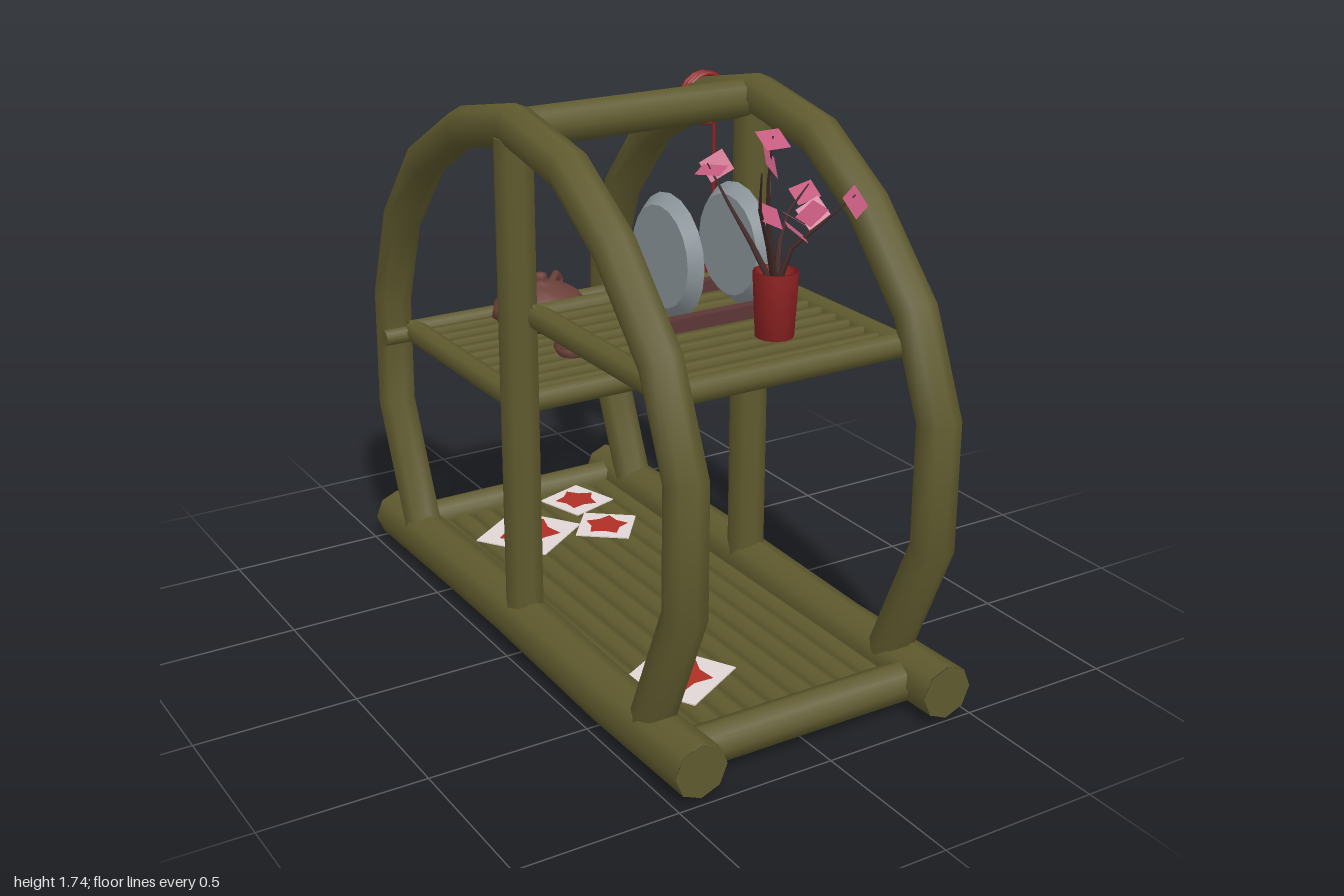
import * as THREE from 'three';

const mat = (name, color, side = THREE.FrontSide) => {
  const m = new THREE.MeshStandardMaterial({ color, side });
  m.name = name;
  return m;
};
const V = (x, y, z) => new THREE.Vector3(x, y, z);

// Curve through straight runs, so each given point becomes one ring of a tube
class PolyPath extends THREE.Curve {
  constructor(points) { super(); this.points = points; }
  getPoint(t, target = new THREE.Vector3()) {
    const n = this.points.length - 1, f = Math.min(t, 1) * n, i = Math.min(Math.floor(f + 1e-6), n - 1);
    return target.lerpVectors(this.points[i], this.points[i + 1], f - i);
  }
  getPointAt(t, target) { return this.getPoint(t, target); }
  getTangentAt(t, target = new THREE.Vector3()) {
    const p = this.points, n = p.length - 1, i = Math.round(t * n), here = p[i];
    target.set(0, 0, 0);
    if (i > 0) target.add(here.clone().sub(p[i - 1]).normalize());
    if (i < n) target.add(p[i + 1].clone().sub(here).normalize());
    return target.normalize();
  }
}

// Tube with an optional taper toward its end
function tube(points, r0, r1, sides = 8) {
  const g = new THREE.TubeGeometry(new PolyPath(points), points.length - 1, r0, sides, false);
  const pos = g.attributes.position, v = new THREE.Vector3();
  for (let k = 0; k < pos.count; k++) {
    const i = Math.floor(k / (sides + 1)), s = THREE.MathUtils.lerp(1, r1 / r0, i / (points.length - 1));
    v.fromBufferAttribute(pos, k).sub(points[i]).multiplyScalar(s).add(points[i]);
    pos.setXYZ(k, v.x, v.y, v.z);
  }
  return g;
}

export function createModel() {
  const root = new THREE.Group();
  root.name = 'bambooDisplayStand';
  const bamboo = mat('olive bamboo', 0x5f5a2e);
  const red = mat('vase red', 0x8f2222, THREE.DoubleSide);
  const clay = mat('teapot clay', 0x6b403a, THREE.DoubleSide);
  const grey = mat('plate grey', 0x8e989d);
  const wood = mat('stand wood', 0x5c3636);
  const twig = mat('twig brown', 0x452d2c);
  const pink = mat('blossom pink', 0xc45a7e, THREE.DoubleSide);
  const white = mat('paper white', 0xe2d6d6);
  const paperRed = mat('paper red', 0xb03026);

  const add = (name, geo, material, x = 0, y = 0, z = 0, parent = root) => {
    const m = new THREE.Mesh(geo, material);
    m.name = name;
    m.position.set(x, y, z);
    parent.add(m);
    return m;
  };
  // Straight capped pole between two points
  const pole = (name, a, b, r, material = bamboo, rEnd = r, sides = 8) => {
    const d = b.clone().sub(a), c = a.clone().add(b).multiplyScalar(0.5);
    const m = add(name, new THREE.CylinderGeometry(rEnd, r, d.length(), sides), material, c.x, c.y, c.z);
    m.quaternion.setFromUnitVectors(V(0, 1, 0), d.normalize());
    return m;
  };

  // Side frames: ground runner, arch and middle post
  const archPoints = [[0.74, 0.14], [0.91, 0.54], [0.91, 0.92], [0.785, 1.21], [0.55, 1.46], [0.31, 1.615], [0, 1.675],
    [-0.325, 1.605], [-0.61, 1.445], [-0.815, 1.205], [-0.92, 0.915], [-0.925, 0.54], [-0.75, 0.14]];
  for (const [side, x, dz] of [['left', 0.40, 0], ['right', -0.42, -0.015]]) {
    add(side + 'Arch', tube(archPoints.map(([z, y]) => V(x, y, z + dz)), 0.064, 0.064), bamboo);
    pole(side + 'Post', V(x, 0.12, -0.025), V(x, 1.64, -0.03), 0.06);
    const zs = [1 + dz, 0.5, -0.1, -0.5, -0.965 + dz];
    const ys = [0.112, 0.1, 0.115, 0.112, 0.102], px = x + (x > 0 ? 0.01 : 0);
    const line = zs.map((z, i) => V(px, ys[i], z));
    add(side + 'Runner', tube(line, 0.083, 0.08), bamboo);
    for (const [i, ry, r] of [[0, 0, 0.083], [4, Math.PI, 0.08]]) {
      add(side + 'RunnerEnd', new THREE.CircleGeometry(r, 8), bamboo, px, ys[i], zs[i]).rotation.y = ry;
    }
  }
  // Cross bars
  pole('topBar', V(-0.42, 1.66, -0.03), V(0.4, 1.66, -0.03), 0.06);
  pole('frontBottomBar', V(-0.4, 0.1, 0.86), V(0.4, 0.1, 0.86), 0.06);
  pole('backBottomBar', V(-0.4, 0.1, -0.88), V(0.4, 0.1, -0.88), 0.06);

  // Floor of long slats
  for (let i = 0; i < 9; i++) {
    const x = -0.32 + i * 0.08;
    pole('floorSlat', V(x, 0.075, 0.87), V(x, 0.075, -0.88), 0.042);
  }

  // Two shelves: rails, end bars and thin cross slats
  const shelf = (name, y, z0, z1) => {
    for (const x of [-0.38, 0.365]) pole(name + 'Rail', V(x, y, z0), V(x, y, z1), 0.038);
    for (const z of [z0, z1]) pole(name + 'EndBar', V(-0.4, y, z), V(0.39, y, z), 0.038);
    for (let i = 1; i < 11; i++) {
      const z = z0 + (z1 - z0) * i / 11;
      pole(name + 'Slat', V(-0.38, y, z), V(0.365, y, z), 0.025, bamboo, 0.025, 6);
    }
  };
  shelf('upperShelf', 1.11, 0.02, 0.76);
  shelf('lowerShelf', 0.803, -0.09, -0.86);
  pole('railPeg', V(-0.4, 0.795, -0.86), V(-0.49, 0.795, -0.86), 0.028);

  // Vase
  const vase = [[0, 0], [0.055, 0], [0.065, 0.19], [0.054, 0.19], [0.048, 0.13], [0, 0.13]];
  add('vase', new THREE.LatheGeometry(vase.map(p => new THREE.Vector2(...p)), 12), red, 0.065, 1.14, 0.585);

  // Blossom branches
  const start = V(0.065, 1.27, 0.585);
  const branches = [
    [[0, 1.42, 0.64], [-0.1, 1.56, 0.74], [-0.18, 1.70, 0.86]],
    [[0.02, 1.45, 0.61], [-0.02, 1.6, 0.66], [-0.05, 1.75, 0.72]],
    [[0.1, 1.4, 0.55], [0.16, 1.46, 0.5], [0.28, 1.51, 0.43]],
    [[0.09, 1.4, 0.62], [0.15, 1.47, 0.67], [0.21, 1.56, 0.74]],
    [[0.02, 1.4, 0.53], [-0.01, 1.5, 0.46], [-0.03, 1.6, 0.38]]];
  for (const b of branches) add('branch', tube([start, ...b.map(p => V(...p))], 0.011, 0.002, 5), twig);

  // Blossoms: small square petals at varied angles
  const blossoms = [[-0.05, 1.74, 0.72], [-0.05, 1.68, 0.71], [-0.03, 1.585, 0.40], [0.02, 1.58, 0.35],
    [-0.04, 1.53, 0.70], [0.14, 1.46, 0.56], [0.22, 1.46, 0.54], [0.26, 1.49, 0.44], [0.09, 1.45, 0.64],
    [0.21, 1.54, 0.74], [0.17, 1.48, 0.6]];
  blossoms.forEach((p, i) => {
    add('blossom', new THREE.PlaneGeometry(0.075, 0.07), pink, ...p)
      .rotation.set(-1 + 0.5 * Math.sin(i * 2.3), 0.7 * Math.sin(i * 1.7), i * 1.1);
  });

  // Display plates on two wooden bars
  for (const z of [0.12, 0.38]) add('plateRest', new THREE.BoxGeometry(0.38, 0.04, 0.035), wood, 0.03, 1.146, z);
  for (const x of [-0.09, 0.14]) {
    add('plate', new THREE.CylinderGeometry(0.15, 0.182, 0.035, 20), grey, x, 1.31, 0.255).rotation.z = Math.PI / 2;
  }

  // Teapot, spout toward local -x and handle toward +x
  const pot = new THREE.Group();
  pot.name = 'teapot';
  pot.position.set(-0.025, 0.835, -0.63);
  pot.rotation.y = Math.PI / 4;
  root.add(pot);
  const body = [[0, 0], [0.12, 0], [0.165, 0.035], [0.16, 0.065], [0.12, 0.11], [0.06, 0.137], [0.018, 0.143],
    [0.026, 0.158], [0.018, 0.172], [0, 0.175]];
  add('teapotBody', new THREE.LatheGeometry(body.map(p => new THREE.Vector2(...p)), 12), clay, 0, 0, 0, pot);
  add('teapotSpout', tube([V(-0.13, 0.035, 0), V(-0.18, 0.06, 0), V(-0.21, 0.115, 0)], 0.036, 0.018, 6), clay, 0, 0, 0, pot);
  const grip = [[0.12, 0.1], [0.18, 0.115], [0.22, 0.09], [0.21, 0.045], [0.14, 0.025]];
  add('teapotHandle', tube(grip.map(([x, y]) => V(x, y, 0)), 0.014, 0.014, 6), clay, 0, 0, 0, pot);

  // Low open cups
  const cup = [[0.045, 0], [0.062, 0.03], [0.04, 0.03], [0.038, 0]];
  for (const [x, z] of [[0.185, -0.455], [-0.07, -0.335]]) {
    add('cup', new THREE.LatheGeometry(cup.map(p => new THREE.Vector2(...p)), 10), clay, x, 0.825, z);
  }

  // Hanging tassel tied round the arch
  for (let i = 0; i < 3; i++) {
    add('tasselLoop', new THREE.TorusGeometry(0.078, 0.008, 6, 16), red, 0.42, 1.6, -0.315 - i * 0.02)
      .rotation.x = 0.06 * (i - 1);
  }
  pole('tasselCord', V(0.445, 1.54, -0.315), V(0.445, 1.22, -0.312), 0.006, red, 0.006, 6);
  add('tasselBead', new THREE.SphereGeometry(0.028, 8, 6), bamboo, 0.442, 1.215, -0.312);
  pole('tasselCap', V(0.442, 1.14, -0.312), V(0.442, 1.2, -0.312), 0.03, bamboo, 0.022);
  pole('tasselSkirt', V(0.442, 0.975, -0.315), V(0.442, 1.15, -0.312), 0.035, red, 0.026);

  // Paper squares with a red motif lying on the floor
  const motif = new THREE.Shape();
  for (let i = 0; i < 10; i++) {
    const a = i * Math.PI / 5, r = i % 2 ? 0.28 : 0.42;
    motif[i ? 'lineTo' : 'moveTo'](r * Math.cos(a), r * Math.sin(a));
  }
  const papers = [[-0.21, 0.53, 0.25, 0.5], [-0.13, -0.55, 0.26, 0.6], [0.135, -0.69, 0.18, 0.3], [0.115, -0.45, 0.18, 0.9]];
  papers.forEach(([x, z, s, turn], i) => {
    const y = 0.122 + i * 0.003;
    add('paper', new THREE.BoxGeometry(s, 0.004, s), white, x, y, z).rotation.y = turn;
    const m = add('paperMotif', new THREE.ShapeGeometry(motif), paperRed, x, y + 0.004, z);
    m.rotation.set(-Math.PI / 2, 0, turn);
    m.scale.setScalar(s);
  });
  return root;
}
